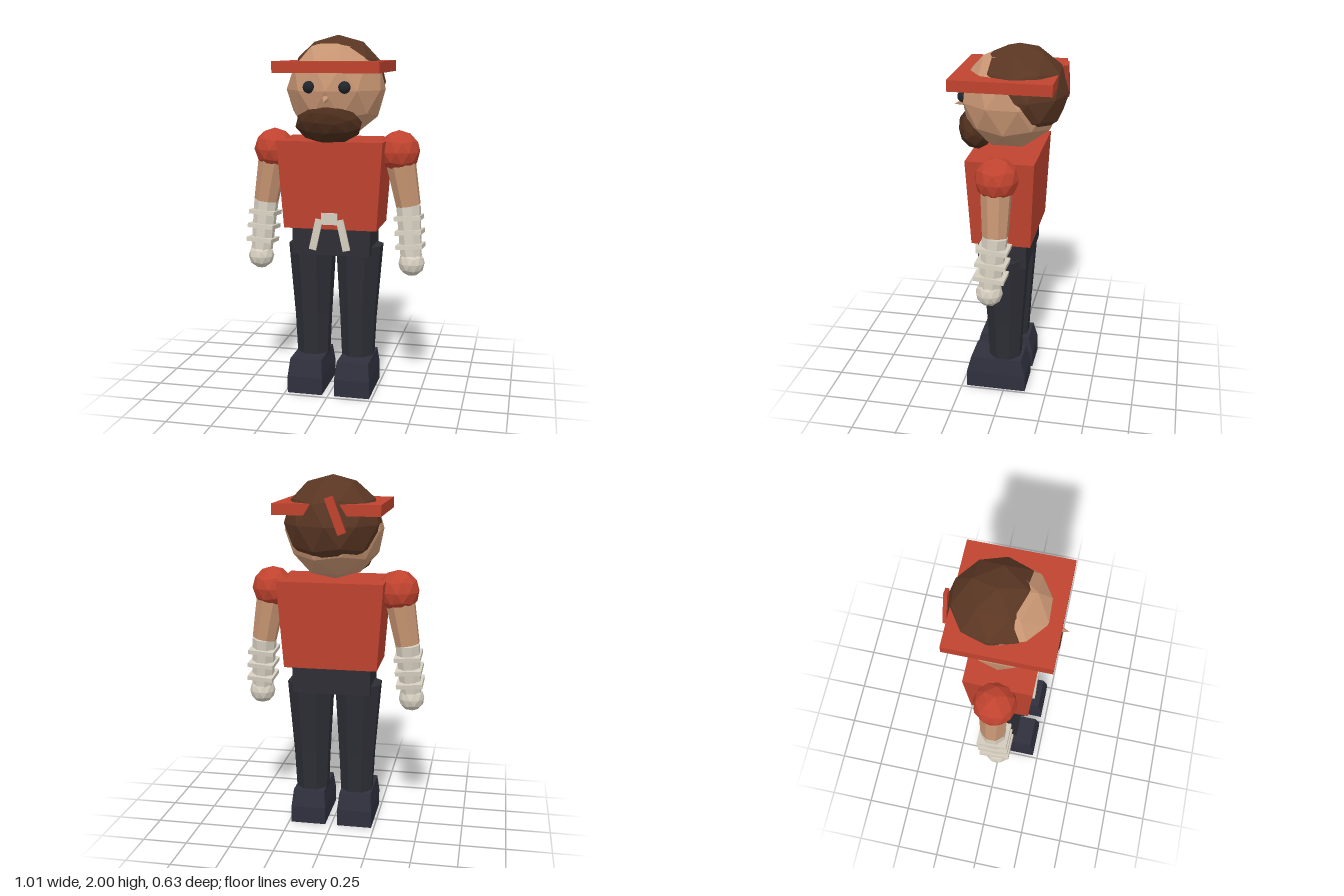
import * as THREE from 'three';

const mat = (name, color) => {
  const m = new THREE.MeshStandardMaterial({ color });
  m.name = name;
  return m;
};

export function createModel() {
  const red = mat('red cloth', 0xc0432f);
  const skin = mat('skin', 0xc69472);
  const hairBrown = mat('hair brown', 0x5a3623);
  const beardBrown = mat('beard brown', 0x4a2c1b);
  const wrapCream = mat('cream wrap', 0xd6cfc0);
  const trouserDark = mat('dark trousers', 0x2d2e35);
  const bootDark = mat('dark boots', 0x2f303d);
  const eyeBlack = mat('eye black', 0x22262b);

  const model = new THREE.Group();
  model.name = 'figure';
  const V = (x, y, z) => new THREE.Vector3(x, y, z);

  // Faceted parts get split vertices so every face keeps its own normal
  function add(name, geo, material, pos = [0, 0, 0], rot = [0, 0, 0], faceted = true) {
    if (faceted) {
      geo = geo.index ? geo.toNonIndexed() : geo;
      geo.computeVertexNormals();
    }
    const mesh = new THREE.Mesh(geo, material);
    mesh.name = name;
    mesh.position.set(...pos);
    mesh.rotation.set(...rot);
    model.add(mesh);
    return mesh;
  }

  // Low-poly ball with one corner pointing up
  const ball = (sx, sy = sx, sz = sx) =>
    new THREE.IcosahedronGeometry(1, 1).rotateZ(-0.5536).scale(sx, sy, sz);

  const box = (w, h, d) => new THREE.BoxGeometry(w, h, d);

  // Eight-sided limb between two points, flat side to the front
  function limb(name, top, bottom, rTop, rBottom, material) {
    const dir = top.clone().sub(bottom);
    const geo = new THREE.CylinderGeometry(rTop, rBottom, dir.length(), 8).rotateY(Math.PI / 8);
    const mesh = add(name, geo, material, top.clone().add(bottom).multiplyScalar(0.5).toArray());
    mesh.quaternion.setFromUnitVectors(V(0, 1, 0), dir.normalize());
    return mesh;
  }

  // Scale the x and z of every corner by a rule on its height
  function taper(geo, rule) {
    const p = geo.attributes.position;
    for (let i = 0; i < p.count; i++) {
      const [sx, sz] = rule(p.getY(i));
      p.setX(i, p.getX(i) * sx);
      p.setZ(i, p.getZ(i) * sz);
    }
    return geo;
  }

  // Head, hair and beard
  add('head', ball(0.275), skin, [0, 1.705, 0]);
  add('hair', ball(0.268, 0.256, 0.265), hairBrown, [0, 1.744, -0.047]);
  add('beard', ball(0.187, 0.112, 0.082), beardBrown, [0, 1.525, 0.193], [0.55, 0, 0]);
  add('nose', new THREE.ConeGeometry(0.028, 0.08, 6), skin, [0, 1.662, 0.275], [1.85, 0, 0]);

  // Square headband and its loose tail at the back
  add('headband', box(0.578, 0.06, 0.545), red, [0, 1.83, 0.0075]);
  add('headbandTail', box(0.045, 0.2, 0.02), red, [-0.055, 1.805, -0.293], [0, 0, -0.36]);

  // Torso, hips and belt knot
  add('torso', taper(box(0.52, 0.485, 0.325), (y) => (y > 0 ? [1.13, 1.135] : [1, 1])), red, [0, 1.19, 0.008]);
  add('hips', box(0.44, 0.16, 0.27), trouserDark, [0, 0.875, 0.01]);
  add('beltKnot', box(0.09, 0.065, 0.016), wrapCream, [0, 1.008, 0.176]);

  for (const s of [1, -1]) {
    const side = s > 0 ? 'left' : 'right';

    add(side + 'Eye', new THREE.SphereGeometry(0.033, 16, 12), eyeBlack, [s * 0.096, 1.725, 0.238], [0, 0, 0], false);
    add(side + 'BeltEnd', box(0.04, 0.175, 0.016), wrapCream, [s * 0.077, 0.918, 0.176], [0, 0, s * 0.22]);

    // Legs with a bend at the knee, and boots
    limb(side + 'Thigh', V(s * 0.137, 0.84, 0.003), V(s * 0.132, 0.43, 0.005), 0.137, 0.108, trouserDark);
    limb(side + 'Shin', V(s * 0.132, 0.44, 0.005), V(s * 0.131, 0.17, 0.007), 0.108, 0.095, trouserDark);
    const boot = taper(new THREE.BoxGeometry(0.2, 0.195, 0.345, 1, 2, 1), (y) => (y > 0.05 ? [0.9, 0.85] : [1, 1]));
    add(side + 'Boot', boot, bootDark, [s * 0.135, 0.0975, 0.0475]);

    // Arms: shoulder, bare upper arm, wrapped forearm, hand
    const shoulder = V(s * 0.355, 1.37, 0.008);
    const elbow = V(s * 0.411, 1.07, 0.006);
    const hand = V(s * 0.437, 0.75, 0.035);
    add(side + 'Shoulder', ball(0.117), red, shoulder.toArray());
    limb(side + 'UpperArm', shoulder, elbow, 0.088, 0.07, skin);
    const forearm = limb(side + 'Forearm', elbow, hand, 0.07, 0.06, wrapCream);
    add(side + 'Hand', ball(0.074), wrapCream, hand.toArray());

    // Square bands around the forearm
    for (let i = 0; i < 3; i++) {
      const at = elbow.clone().lerp(hand, 0.21 + i * 0.245);
      const band = add(side + 'WristBand' + (i + 1), box(0.147, 0.024, 0.165), wrapCream, at.toArray());
      band.quaternion.copy(forearm.quaternion);
    }
  }
  return model;
}
